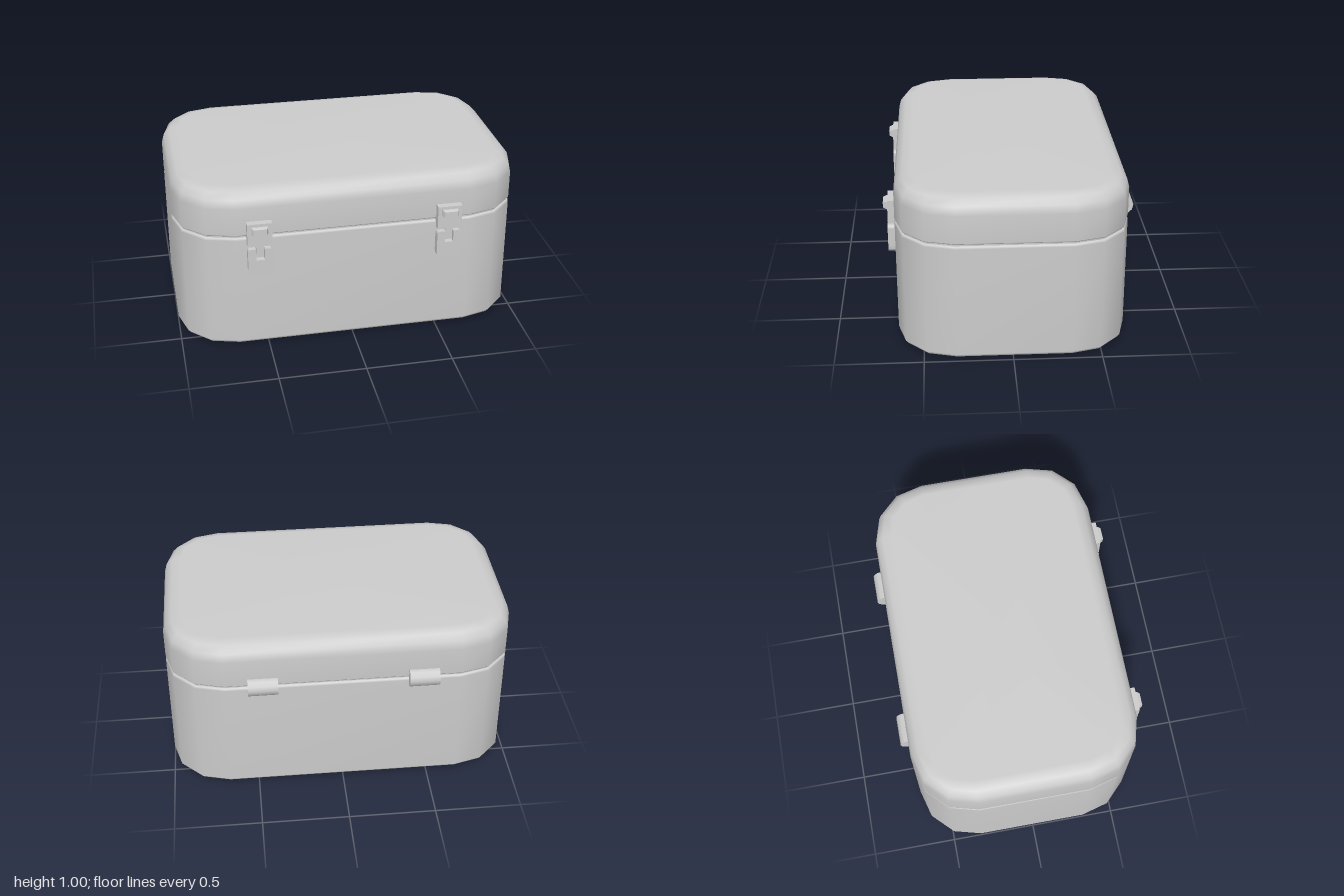
import * as THREE from 'three';

const material = new THREE.MeshStandardMaterial({ color: 0xcccccc });
const HALF_X = 1, HALF_Z = 0.653, CENTER_Z = -0.006, RADIUS = 0.33, CORNER_STEPS = 3;

function add(parent, name, geometry, x = 0, y = 0, z = 0) {
  const mesh = new THREE.Mesh(geometry, material);
  mesh.name = name;
  mesh.position.set(x, y, z);
  parent.add(mesh);
  return mesh;
}

// Rounded-rectangle outline, pulled inward by `inset`, at height y
function ring(inset, y) {
  const points = [];
  for (let corner = 0; corner < 4; corner++) {
    const sx = corner === 0 || corner === 3 ? 1 : -1;
    const sz = corner < 2 ? 1 : -1;
    for (let i = 0; i <= CORNER_STEPS; i++) {
      const a = (corner + i / CORNER_STEPS) * Math.PI / 2;
      points.push(
        sx * (HALF_X - RADIUS) + (RADIUS - inset) * Math.cos(a), y,
        CENTER_Z + sz * (HALF_Z - RADIUS) + (RADIUS - inset) * Math.sin(a));
    }
  }
  return points;
}

// Loft through [inset, y] rows from bottom to top, with optional flat caps
function loft(rows, capBottom, capTop) {
  const n = 4 * (CORNER_STEPS + 1), last = rows.length - 1;
  const positions = rows.flatMap(([inset, y]) => ring(inset, y));
  const index = [];
  for (let j = 0; j < last; j++) {
    for (let k = 0; k < n; k++) {
      const a = j * n + k, b = j * n + (k + 1) % n;
      index.push(a, a + n, b, b, a + n, b + n);
    }
  }
  const cap = (row, top) => {
    const center = positions.length / 3;
    positions.push(0, rows[row][1], CENTER_Z);
    for (let k = 0; k < n; k++) {
      const a = row * n + k, b = row * n + (k + 1) % n;
      index.push(center, ...(top ? [b, a] : [a, b]));
    }
  };
  if (capBottom) cap(0, false);
  if (capTop) cap(last, true);
  const geometry = new THREE.BufferGeometry();
  geometry.setAttribute('position', new THREE.Float32BufferAttribute(positions, 3));
  geometry.setIndex(index);
  geometry.computeVertexNormals();
  return geometry;
}

// Rounded catch plate with a slot open at the top
function catchGeometry(depth) {
  const w = 0.07, top = 0.66, bottom = 0.49, r = 0.04, c = 0.02, slot = 0.024;
  const s = new THREE.Shape();
  s.moveTo(-w + r, bottom);
  s.lineTo(w - r, bottom);
  s.quadraticCurveTo(w, bottom, w, bottom + r);
  s.lineTo(w, top - c);
  s.quadraticCurveTo(w, top, w - c, top);
  s.lineTo(slot, top);
  s.lineTo(slot, 0.59);
  s.lineTo(-slot, 0.59);
  s.lineTo(-slot, top);
  s.lineTo(-w + c, top);
  s.quadraticCurveTo(-w, top, -w, top - c);
  s.lineTo(-w, bottom + r);
  s.quadraticCurveTo(-w, bottom, -w + r, bottom);
  return new THREE.ExtrudeGeometry(s, { depth, bevelEnabled: false, curveSegments: 4 });
}

// Chamfered button: a box whose front face is narrowed
function buttonGeometry() {
  const g = new THREE.BoxGeometry(0.092, 0.044, 0.035, 1, 1, 2).toNonIndexed();
  const p = g.attributes.position;
  for (let i = 0; i < p.count; i++) {
    if (p.getZ(i) > 0.01) p.setXY(i, p.getX(i) * 0.8, p.getY(i) * 0.75);
  }
  g.computeVertexNormals();
  return g;
}

function makeLatch(name, x) {
  const latch = new THREE.Group();
  latch.name = name;
  latch.position.x = x;
  add(latch, 'latchPlate', new THREE.BoxGeometry(0.14, 0.14, 0.052), 0, 0.745, 0.661);
  add(latch, 'latchButton', buttonGeometry(), 0, 0.776, 0.6945);
  add(latch, 'latchTongue', new THREE.BoxGeometry(0.042, 0.08, 0.035), 0, 0.64, 0.657);
  add(latch, 'latchCatch', catchGeometry(0.05), 0, 0, 0.64);
  return latch;
}

export function createModel() {
  const model = new THREE.Group();
  model.name = 'case';

  // Body with a softened base edge
  add(model, 'body', loft([
    [0.1, 0], [0.05, 0.007], [0.018, 0.02], [0, 0.042], [0, 0.7], [0.006, 0.71], [0.015, 0.713],
  ], true, false));

  // Recessed seam
  add(model, 'seam', loft([[0.015, 0.711], [0.015, 0.726]], false, false));

  // Lid with a rounded upper edge
  add(model, 'lid', loft([
    [0.015, 0.724], [0.006, 0.726], [0, 0.734], [0, 0.895], [0.013, 0.943], [0.048, 0.979], [0.105, 0.995],
  ], false, true));

  // Latches on the front, hinges on the back
  for (const side of [-1, 1]) {
    const label = side > 0 ? 'left' : 'right';
    model.add(makeLatch(label + 'Latch', side * 0.542));
    const hinge = add(model, label + 'Hinge',
      new THREE.CylinderGeometry(0.054, 0.054, 0.171, 12), side * 0.456, 0.721, -0.656);
    hinge.rotation.z = Math.PI / 2;
  }
  return model;
}
